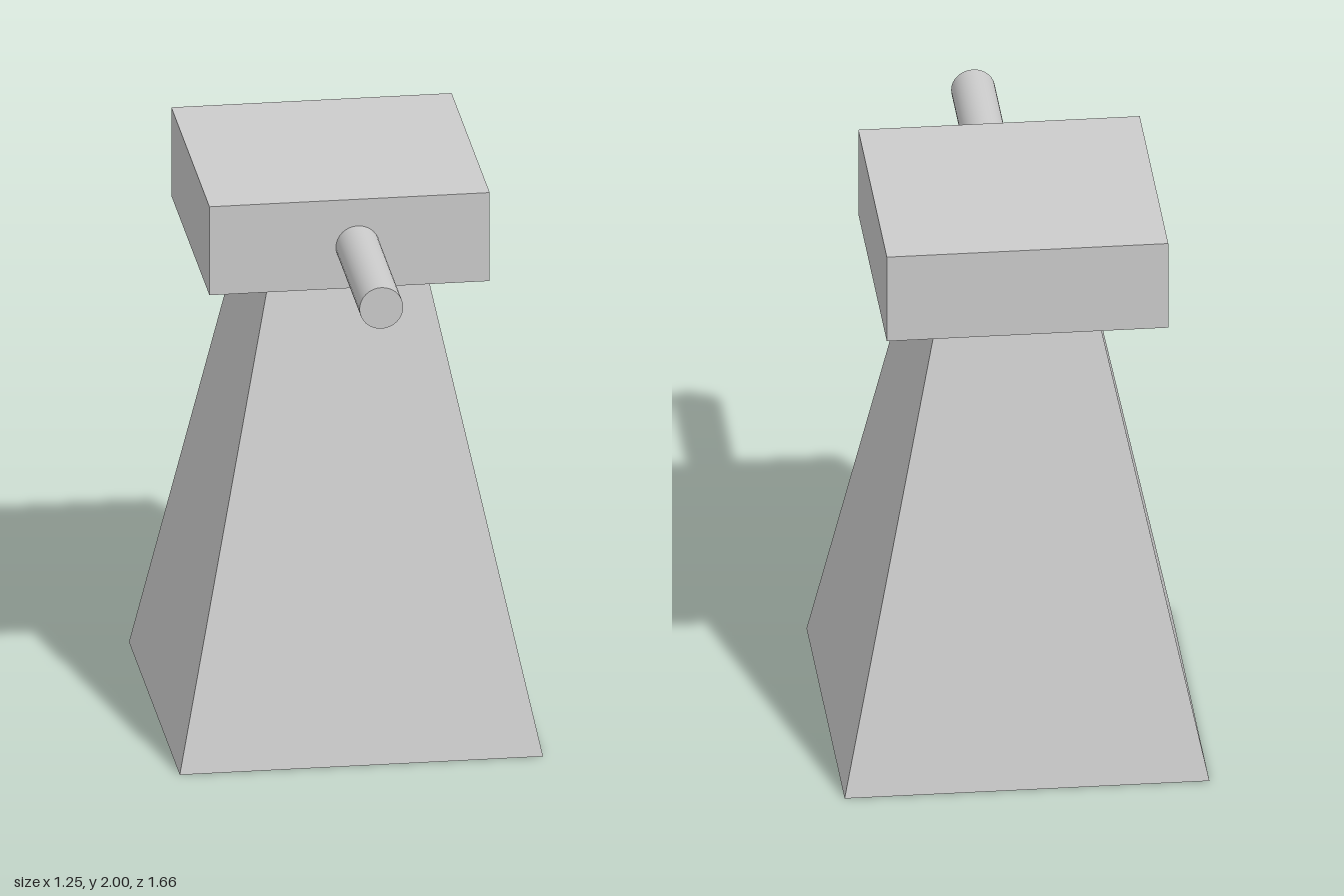
import * as THREE from 'three';

const material = new THREE.MeshStandardMaterial({ color: 0xcccccc });

function addPart(group, name, geometry, x, y, z) {
  const mesh = new THREE.Mesh(geometry, material);
  mesh.name = name;
  mesh.position.set(x, y, z);
  group.add(mesh);
  return mesh;
}

// Box whose top face is narrowed to topW x topD and shifted along z
function taperedBox(w, h, d, topW, topD, topZ) {
  const geometry = new THREE.BoxGeometry(w, h, d);
  const p = geometry.attributes.position;
  for (let i = 0; i < p.count; i++) {
    if (p.getY(i) > 0) {
      p.setX(i, Math.sign(p.getX(i)) * topW / 2);
      p.setZ(i, Math.sign(p.getZ(i)) * topD / 2 + topZ);
    }
  }
  geometry.computeVertexNormals();
  return geometry;
}

export function createModel() {
  const group = new THREE.Group();
  group.name = 'gunTower';

  // Tapering tower body
  addPart(group, 'towerBody', taperedBox(1.248, 1.678, 1.253, 0.535, 0.572, 0.001), 0, 0.839, -0.2);

  // Square turret head, slightly off-centre
  addPart(group, 'turretHead', new THREE.BoxGeometry(0.963, 0.323, 0.938), -0.016, 1.8385, -0.22);

  // Barrel pointing forward, seated a little inside the head
  const barrel = new THREE.CylinderGeometry(0.075, 0.075, 0.632, 32).rotateX(Math.PI / 2);
  addPart(group, 'barrel', barrel, 0.012, 1.828, 0.516);

  return group;
}
